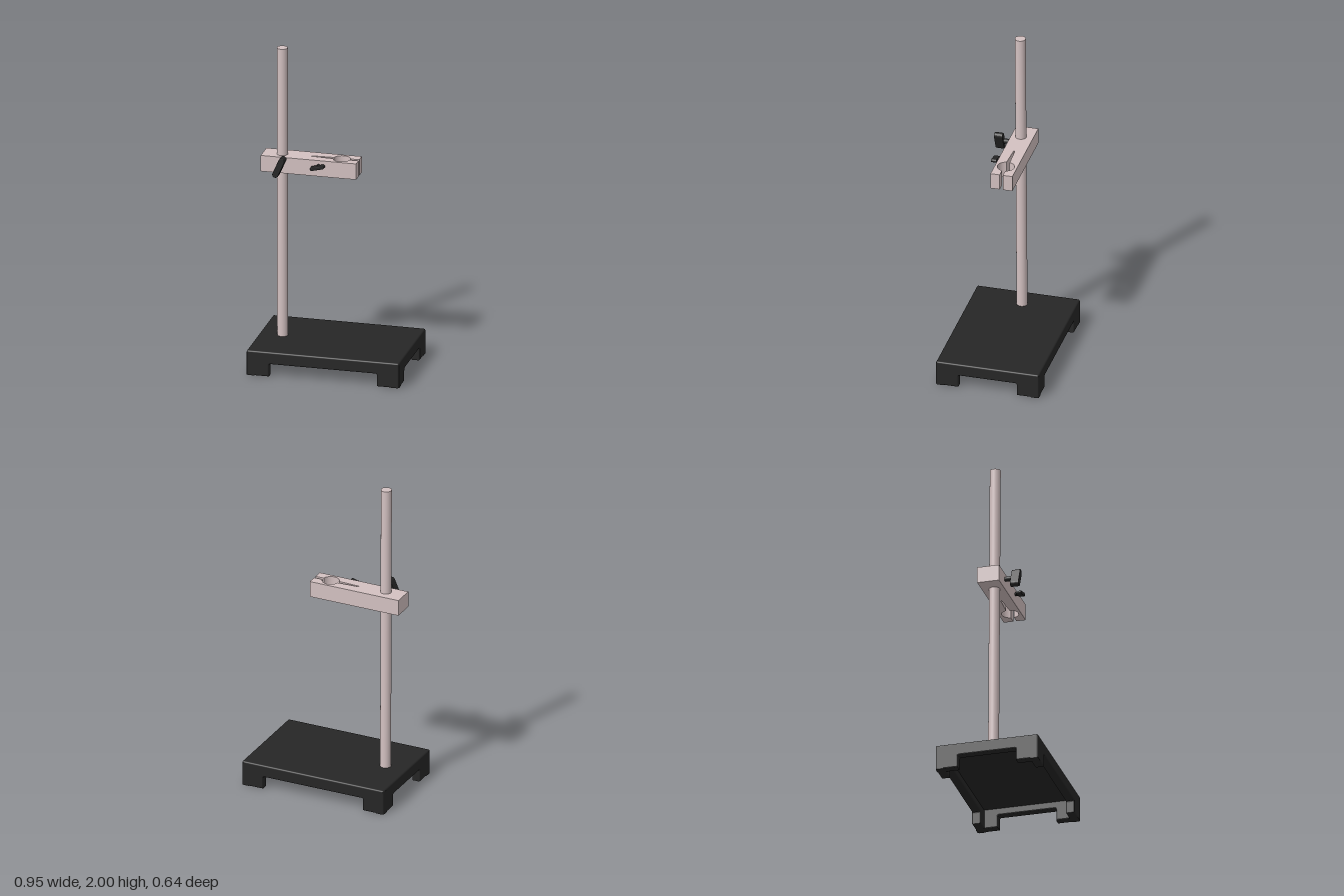
import * as THREE from 'three';
import { RoundedBoxGeometry } from 'three/addons/geometries/RoundedBoxGeometry.js';

const black = new THREE.MeshStandardMaterial({ color: 0x262626 });
const metal = new THREE.MeshStandardMaterial({ color: 0xd3c1c1 });

function add(parent, name, geometry, material, x = 0, y = 0, z = 0) {
  const mesh = new THREE.Mesh(geometry, material);
  mesh.name = name;
  mesh.position.set(x, y, z);
  parent.add(mesh);
  return mesh;
}

// Skirt wall with a foot at each end and a filleted arch between, centred in depth
function wallGeometry(length, thickness) {
  const b = 0.008, h = length / 2 - b, top = 0.148 - b, arch = 0.08 + b;
  const inner = length / 2 - 0.138 + b, r = 0.02;
  const s = new THREE.Shape();
  s.moveTo(-h, top);
  s.lineTo(-h, b);
  s.lineTo(-inner - 0.008 + b, b);
  s.lineTo(-inner, arch - r);
  s.quadraticCurveTo(-inner, arch, -inner + r, arch);
  s.lineTo(inner - r, arch);
  s.quadraticCurveTo(inner, arch, inner, arch - r);
  s.lineTo(inner + 0.008 - b, b);
  s.lineTo(h, b);
  s.lineTo(h, top);
  s.closePath();
  const g = new THREE.ExtrudeGeometry(s, {
    depth: thickness - 2 * b, bevelEnabled: true, bevelSize: b,
    bevelThickness: b, bevelSegments: 3, curveSegments: 6,
  });
  return g.translate(0, 0, -thickness / 2 + b);
}

// Base: a hollow tray standing on four L-shaped corner feet
function buildBase() {
  const base = new THREE.Group();
  base.name = 'base';
  const W = 0.946, D = 0.64, t = 0.055;
  add(base, 'basePlate', new RoundedBoxGeometry(W, 0.035, D, 3, 0.01), black, 0, 0.1395, 0);
  for (const s of [1, -1]) {
    add(base, s > 0 ? 'frontSkirt' : 'backSkirt', wallGeometry(W, t), black, 0, 0, s * (D - t) / 2);
    add(base, s > 0 ? 'leftSkirt' : 'rightSkirt', wallGeometry(D, t), black, s * (W - t) / 2, 0, 0)
      .rotation.y = Math.PI / 2;
  }
  return base;
}

// Clamp bar: one outline seen from above, with a slit opening into a round socket
function clampGeometry() {
  const cx = 0.037, cz = 0.003, r = 0.052, w = 0.01;
  const a = Math.asin(w / r), x0 = -0.449, x1 = 0.143, z0 = -0.066, z1 = 0.07;
  const s = new THREE.Shape();
  s.moveTo(x0, z0);
  s.lineTo(x1, z0);
  s.lineTo(x1, cz - w);
  s.lineTo(cx + r * Math.cos(a), cz - w);
  s.absarc(cx, cz, r, -a, -Math.PI + a, true);
  s.lineTo(-0.15, cz - 0.004);
  s.lineTo(-0.158, cz);
  s.lineTo(-0.15, cz + 0.004);
  s.lineTo(cx - r * Math.cos(a), cz + w);
  s.absarc(cx, cz, r, Math.PI - a, a, true);
  s.lineTo(x1, cz + w);
  s.lineTo(x1, z1);
  s.lineTo(x0, z1);
  s.closePath();
  const g = new THREE.ExtrudeGeometry(s, { depth: 0.101, bevelEnabled: false, curveSegments: 24 });
  return g.rotateX(Math.PI / 2).translate(0, 1.318, 0);
}

// Thumb screw: a tapered stem and a flat wing with rounded ends
function buildScrew(name, { x, y, z0, z1, length, width, stem, angle }) {
  const screw = new THREE.Group();
  screw.name = name;
  const h = length / 2 - width / 2, r = width / 2, b = 0.004;
  const s = new THREE.Shape();
  s.absarc(h, 0, r - b, -Math.PI / 2, Math.PI / 2, false);
  s.absarc(-h, 0, r - b, Math.PI / 2, Math.PI * 1.5, false);
  const wing = new THREE.ExtrudeGeometry(s, {
    depth: z1 - z0 - 2 * b, bevelEnabled: true, bevelSize: b,
    bevelThickness: b, bevelSegments: 2, curveSegments: 10,
  });
  add(screw, 'wing', wing, black, 0, 0, z0 + b).rotation.z = angle;
  const stemLength = z0 - 0.055;
  const shaft = new THREE.CylinderGeometry(stem * 1.15, stem, stemLength, 20).rotateX(Math.PI / 2);
  add(screw, 'stem', shaft, black, 0, 0, 0.06 + stemLength / 2);
  screw.position.set(x, y, 0);
  return screw;
}

export function createModel() {
  const model = new THREE.Group();
  model.name = 'clampStand';
  model.add(buildBase());

  // Upright rod, leaning very slightly forward
  const bottom = 0.13, rodHeight = 2 - bottom;
  const rod = add(model, 'rod', new THREE.CylinderGeometry(0.033, 0.033, rodHeight, 32),
    metal, -0.33, bottom + rodHeight / 2, 0.008);
  rod.rotation.x = 0.006;

  add(model, 'clampBar', clampGeometry(), metal);
  model.add(buildScrew('rodScrew', {
    x: -0.316, y: 1.281, z0: 0.11, z1: 0.165, length: 0.134, width: 0.038, stem: 0.014, angle: 1.16,
  }));
  model.add(buildScrew('socketScrew', {
    x: -0.089, y: 1.284, z0: 0.084, z1: 0.12, length: 0.09, width: 0.022, stem: 0.011, angle: 0.23,
  }));
  return model;
}
